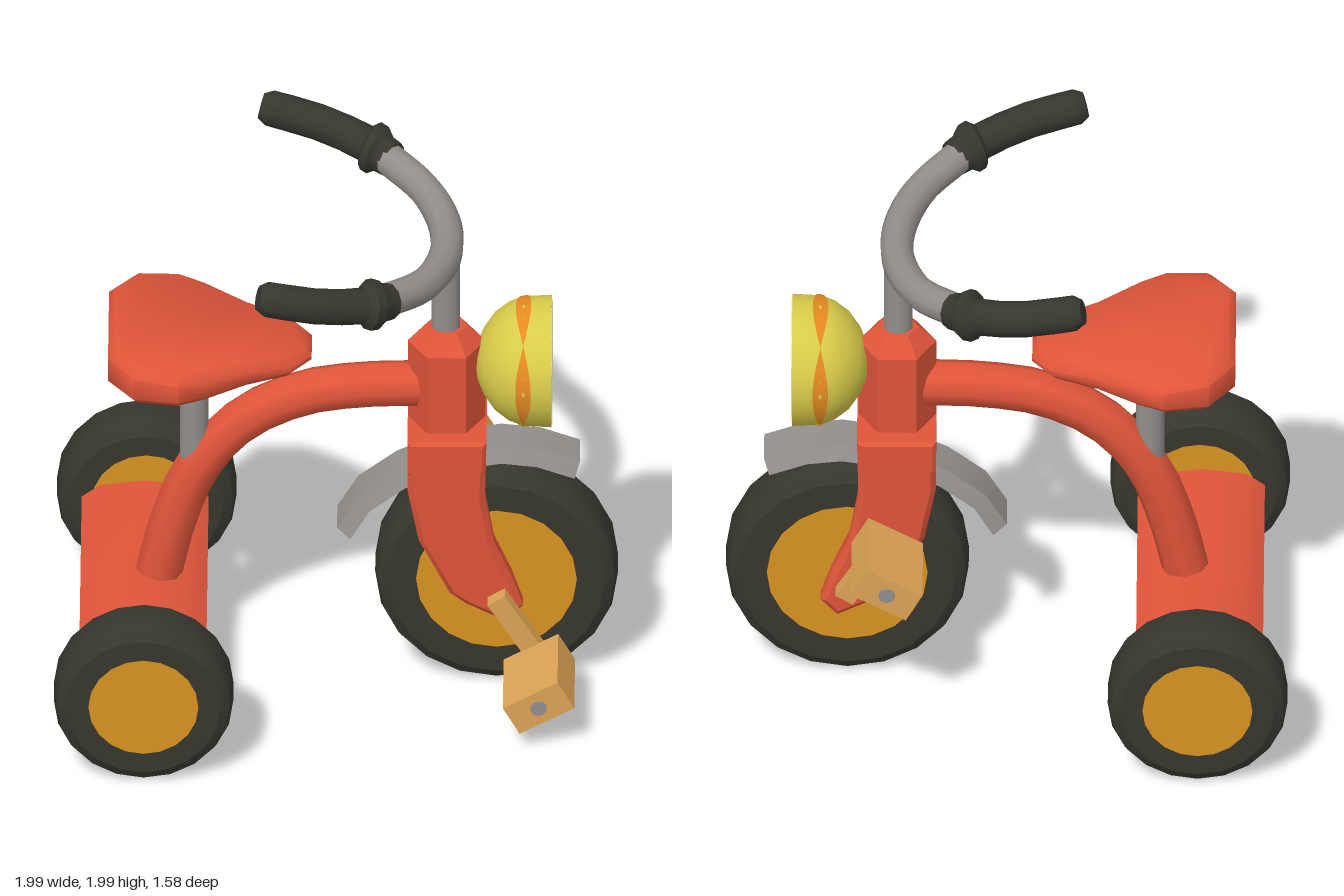
import * as THREE from 'three';
import { toCreasedNormals } from 'three/addons/utils/BufferGeometryUtils.js';

const mat = (name, color, side = THREE.FrontSide) => {
  const m = new THREE.MeshStandardMaterial({ color, side });
  m.name = name;
  return m;
};
const red = mat('red paint', 0xe0553a);
const rubber = mat('dark rubber', 0x37372f);
const orange = mat('hub orange', 0xd8921f);
const grey = mat('grey metal', 0x928e8c, THREE.DoubleSide);
const wood = mat('pedal tan', 0xdca355);
const yellow = mat('lamp yellow', 0xd9cc4a);
const pale = mat('pale lens stripe', 0xe6e6b8);
const lens = mat('lens yellow', 0xe0dc78);
const streak = mat('lamp orange', 0xe58a22, THREE.DoubleSide);

const v2 = (pts) => pts.map(([x, y]) => new THREE.Vector2(x, y));
const v3 = (pts) => pts.map((p) => new THREE.Vector3(...p));
const crease = (geo, angle = 0.65) => toCreasedNormals(geo, angle);

// Tube along a curve whose rings are given as [position 0..1, radius]
function sweep(curve, rings, sides) {
  const n = rings.length - 1;
  const geo = new THREE.TubeGeometry(curve, n, 1, sides);
  const pos = geo.attributes.position;
  const v = new THREE.Vector3();
  for (let i = 0; i < pos.count; i++) {
    const j = Math.floor(i / (sides + 1));
    v.fromBufferAttribute(pos, i).sub(curve.getPointAt(j / n)).multiplyScalar(rings[j][1]);
    v.add(curve.getPointAt(rings[j][0]));
    pos.setXYZ(i, v.x, v.y, v.z);
  }
  return crease(geo);
}

// Extruded outline with a chamfer that stays within the outline
function slab(pts, depth, bevel) {
  const geo = new THREE.ExtrudeGeometry(new THREE.Shape(v2(pts)), {
    depth: depth - 2 * bevel, bevelThickness: bevel, bevelSize: bevel,
    bevelOffset: -bevel, bevelSegments: 1,
  });
  return geo.translate(0, 0, bevel);
}

export function createModel() {
  const model = new THREE.Group();
  model.name = 'tricycle';
  const add = (name, geo, material, x = 0, y = 0, z = 0, parent = model) => {
    const m = new THREE.Mesh(geo, material);
    m.name = name;
    m.position.set(x, y, z);
    parent.add(m);
    return m;
  };

  // Wheels: chamfered tyre with a flat hub
  function wheel(name, x, y, z, r, hub) {
    const g = new THREE.Group();
    g.name = name;
    g.position.set(x, y, z);
    model.add(g);
    const tyre = new THREE.LatheGeometry(v2([
      [hub, -0.107], [r - 0.045, -0.107], [r - 0.01, -0.085], [r, -0.06],
      [r, 0.06], [r - 0.01, 0.085], [r - 0.045, 0.107], [hub, 0.107],
    ]), 20).rotateX(Math.PI / 2);
    add('tyre', crease(tyre, 0.5), rubber, 0, 0, 0, g);
    add('hub', new THREE.CylinderGeometry(hub + 0.002, hub + 0.002, 0.21, 20).rotateX(Math.PI / 2), orange, 0, 0, 0, g);
  }
  wheel('frontWheel', 0.565, 0.44, 0, 0.43, 0.285);
  wheel('rearLeftWheel', -0.68, 0.325, -0.682, 0.318, 0.195);
  wheel('rearRightWheel', -0.68, 0.325, 0.682, 0.318, 0.195);

  // Flattened rear axle beam
  const beam = new THREE.CylinderGeometry(1, 1, 1.15, 8).rotateX(Math.PI / 2).scale(0.225, 0.068, 1);
  add('rearAxle', crease(beam, 0.9), red, -0.685, 0.347, 0);

  // Curved frame tube
  const spine = new THREE.CatmullRomCurve3(v3([
    [-0.64, 0.36, 0], [-0.58, 0.62, 0], [-0.49, 0.85, 0], [-0.33, 1.04, 0],
    [-0.13, 1.145, 0], [0.07, 1.182, 0], [0.34, 1.192, 0],
  ]));
  add('frameTube', new THREE.TubeGeometry(spine, 14, 0.083, 8), red);

  // Steering head
  const head = new THREE.LatheGeometry(v2([
    [0, 0], [0.138, 0], [0.138, 0.32], [0.075, 0.385], [0, 0.385],
  ]), 6).rotateY(Math.PI / 2);
  add('steeringHead', crease(head), red, 0.388, 1.05, 0);

  // Fork: crown and two swept legs
  add('forkCrown', slab([[0.25, 0.92], [0.525, 0.92], [0.53, 1.055], [0.25, 1.055]], 0.38, 0.012), red, 0, 0, -0.19);
  const leg = crease(slab([
    [0.25, 1.05], [0.25, 0.85], [0.29, 0.64], [0.40, 0.42], [0.46, 0.375], [0.6, 0.305],
    [0.66, 0.37], [0.62, 0.49], [0.555, 0.64], [0.525, 0.82], [0.53, 1.05],
  ], 0.085, 0.02));
  for (const z of [-0.19, 0.105]) add('forkLeg', leg, red, 0, 0, z);

  // Front mudguard: arched strip lofted along the wheel
  const rail = [[0, 0.63], [0.075, 0.755], [0.21, 0.86], [0.38, 0.94], [0.58, 0.975], [0.72, 0.96], [0.86, 0.91]];
  const section = [[-0.105, -0.055], [-0.075, 0], [0.075, 0], [0.105, -0.055]];
  const pos = [], idx = [];
  rail.forEach(([x, y], i) => {
    const a = rail[Math.max(i - 1, 0)], b = rail[Math.min(i + 1, rail.length - 1)];
    const t = new THREE.Vector2(b[0] - a[0], b[1] - a[1]).normalize();
    section.forEach(([z, d], j) => {
      pos.push(x - t.y * d, y + t.x * d, z);
      if (i && j) {
        const k = i * 4 + j;
        idx.push(k - 5, k - 4, k - 1, k - 4, k, k - 1);
      }
    });
  });
  const guard = new THREE.BufferGeometry();
  guard.setAttribute('position', new THREE.Float32BufferAttribute(pos, 3));
  guard.setIndex(idx);
  add('mudguard', crease(guard), grey);

  // Seat post and handlebar stem
  add('seatPost', new THREE.CylinderGeometry(0.053, 0.053, 0.46, 10), grey, -0.507, 1.1, 0);
  add('handlebarStem', new THREE.CylinderGeometry(0.053, 0.053, 0.4, 10), grey, 0.385, 1.58, 0);

  // Saddle: chamfered outline, upper face falling toward the nose
  const half = [[-0.81, 0.22], [-0.72, 0.345], [-0.56, 0.37], [-0.46, 0.325], [-0.31, 0.225], [-0.16, 0.16], [-0.09, 0.07]];
  const outline = [...half, ...half.map(([x, z]) => [x, -z]).reverse()];
  const saddle = slab(outline, 0.15, 0.028).rotateX(-Math.PI / 2);
  const sp = saddle.attributes.position;
  for (let i = 0; i < sp.count; i++) {
    if (sp.getY(i) > 0.075) sp.setY(i, sp.getY(i) - 0.115 * (sp.getX(i) + 0.8));
  }
  add('saddle', crease(saddle, 0.85), red, 0, 1.305, 0);

  // Handlebar, tilted arc
  const barY = (x) => 1.78 + (0.39 - x) * 0.25;
  const side = [[0.37, 0.16], [0.3, 0.33], [0.16, 0.49]];
  const barPts = [...side.map(([x, z]) => [x, barY(x), -z]).reverse(), [0.39, 1.78, 0], ...side.map(([x, z]) => [x, barY(x), z])];
  add('handlebar', new THREE.TubeGeometry(new THREE.CatmullRomCurve3(v3(barPts)), 24, 0.06, 10), grey);

  // Rubber grips with a collar at the inner end
  for (const s of [-1, 1]) {
    const path = new THREE.CatmullRomCurve3(v3(
      [[0.19, 0.47], [0.09, 0.545], [-0.06, 0.61], [-0.275, 0.64]].map(([x, z]) => [x, barY(x), s * z])));
    add('grip', sweep(path, [
      [0, 0], [0, 0.066], [0.08, 0.07], [0.13, 0.092], [0.19, 0.092], [0.23, 0.066], [0.4, 0.065],
      [0.6, 0.065], [0.8, 0.065], [0.94, 0.064], [1, 0.045], [1, 0],
    ], 10), rubber);
  }

  // Headlamp: domed shell, striped lens and orange streaks
  const lamp = new THREE.Group();
  lamp.name = 'headlamp';
  lamp.position.set(0, 1.285, 0);
  model.add(lamp);
  const shell = [[0, 0.49], [0.06, 0.495], [0.12, 0.52], [0.175, 0.56], [0.212, 0.61], [0.23, 0.66], [0.235, 0.76]];
  add('lampShell', new THREE.LatheGeometry(v2(shell), 24).rotateZ(-Math.PI / 2), yellow, 0, 0, 0, lamp);
  add('lampLens', new THREE.CircleGeometry(0.235, 24).rotateY(Math.PI / 2), lens, 0.76, 0, 0, lamp);
  for (let i = -3; i <= 3; i++) {
    const z = i * 0.062;
    const h = 2 * Math.sqrt(0.225 ** 2 - (Math.abs(z) + 0.013) ** 2);
    add('lensStripe', new THREE.BoxGeometry(0.004, h, 0.026), pale, 0.761, 0, z, lamp);
  }
  // Streak band pinched at the diagonals
  const band = new THREE.CylinderGeometry(1, 1, 1, 48, 1, true).rotateZ(-Math.PI / 2);
  const bp = band.attributes.position;
  for (let i = 0; i < bp.count; i++) {
    const a = Math.atan2(bp.getZ(i), bp.getY(i));
    const x = 0.66 + bp.getX(i) * 0.055 * Math.abs(Math.cos(2 * a));
    const r = 0.234 + Math.min(0, x - 0.66) * 0.36;
    bp.setXYZ(i, x, r * Math.cos(a), r * Math.sin(a));
  }
  band.computeVertexNormals();
  add('lampStreak', band, streak, 0, 0, 0, lamp);

  // Cranks and pedals, half a turn apart
  for (const s of [-1, 1]) {
    const g = new THREE.Group();
    g.name = s > 0 ? 'rightPedal' : 'leftPedal';
    g.position.set(0.57, 0.425, 0);
    model.add(g);
    const px = 0.148 * s, py = -0.238 * s;
    const arm = add('crankArm', new THREE.BoxGeometry(0.3, 0.072, 0.058), wood, px / 2, py / 2, s * 0.216, g);
    arm.rotation.z = Math.atan2(-0.238, 0.148);
    const block = add('pedalBlock', new THREE.BoxGeometry(0.222, 0.122, 0.325), wood, px, py, s * 0.403, g);
    block.rotation.z = 0.51;
    add('pedalPin', new THREE.CylinderGeometry(0.03, 0.03, 0.008, 10).rotateX(Math.PI / 2), grey, px, py, s * 0.566, g);
  }
  return model;
}
